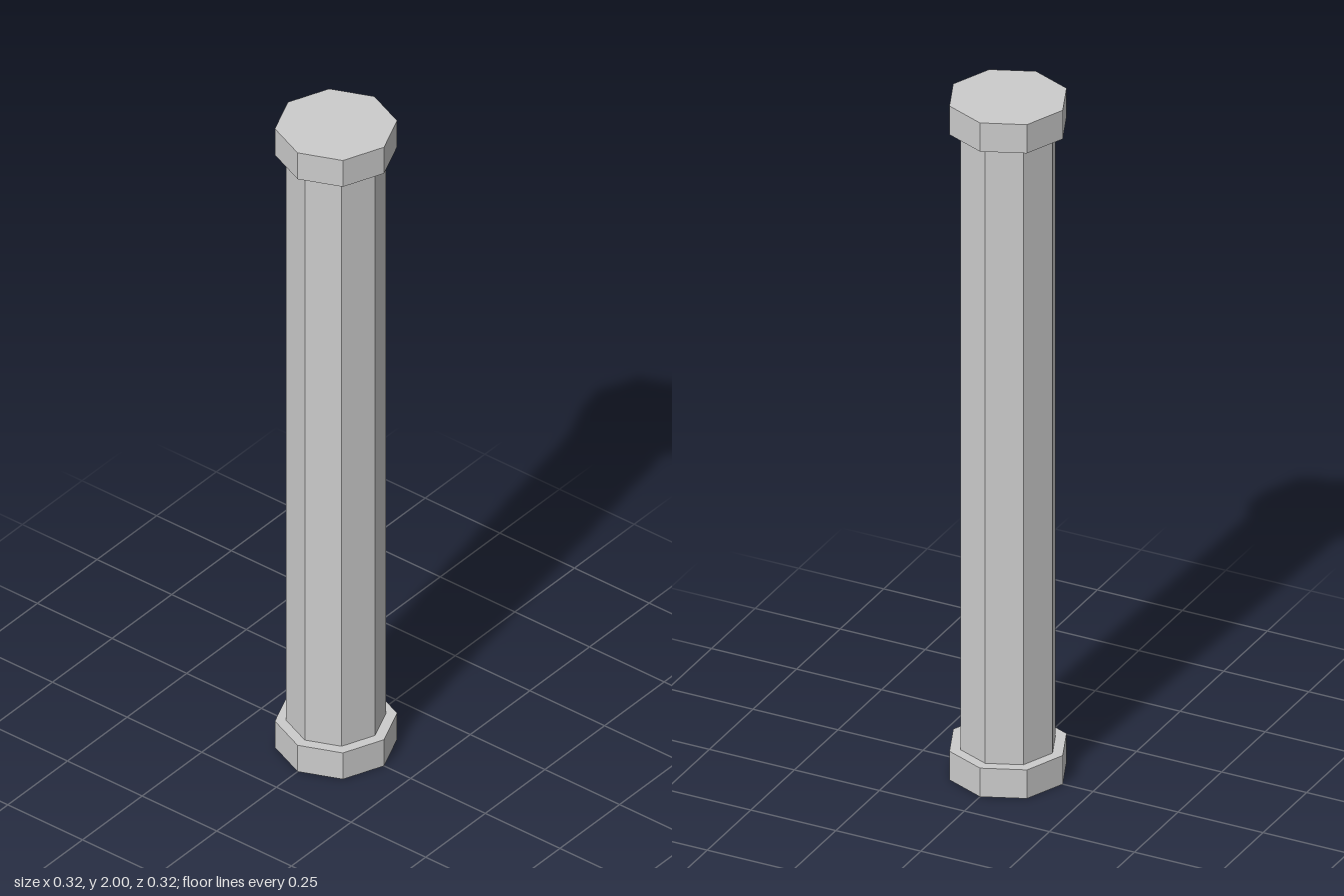
import * as THREE from 'three';

const SIDES = 8;
const HEIGHT = 2;
const CAP_HEIGHT = 0.085;
const CAP_RADIUS = 0.161;
const SHAFT_RADIUS = 0.131;

export function createModel() {
  const group = new THREE.Group();
  group.name = 'column';
  const material = new THREE.MeshStandardMaterial({ color: 0xcccccc, flatShading: true });

  // Octagonal prism standing on height y, with corners on the x and z axes
  const addPrism = (name, radius, height, y, openEnded = false) => {
    const geometry = new THREE.CylinderGeometry(radius, radius, height, SIDES, 1, openEnded);
    const mesh = new THREE.Mesh(geometry, material);
    mesh.name = name;
    mesh.position.y = y + height / 2;
    group.add(mesh);
  };

  // Base and capital are solid; the shaft's ends are hidden against them
  addPrism('base', CAP_RADIUS, CAP_HEIGHT, 0);
  addPrism('shaft', SHAFT_RADIUS, HEIGHT - 2 * CAP_HEIGHT, CAP_HEIGHT, true);
  addPrism('capital', CAP_RADIUS, CAP_HEIGHT, HEIGHT - CAP_HEIGHT);

  return group;
}
